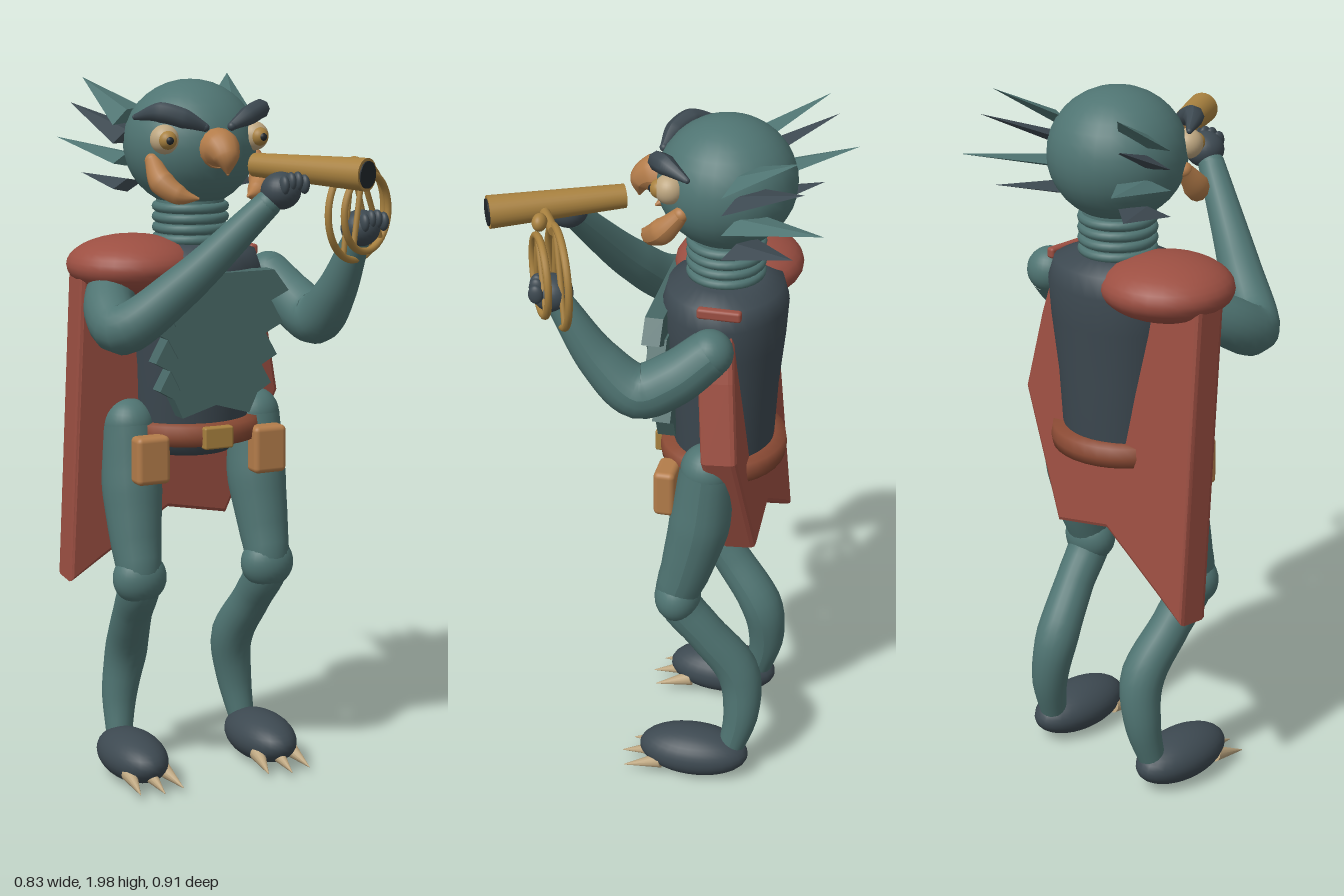
import * as THREE from 'three';
import { RoundedBoxGeometry } from 'three/addons/geometries/RoundedBoxGeometry.js';
import { ConvexGeometry } from 'three/addons/geometries/ConvexGeometry.js';

const mat = (name, color, side = THREE.FrontSide) => {
  const m = new THREE.MeshStandardMaterial({ color, side });
  m.name = name;
  return m;
};
const V = (x, y, z) => new THREE.Vector3(x, y, z);

export function createModel() {
  const root = new THREE.Group();
  root.name = 'birdHerald';
  const skin = mat('teal', 0x4f7472);
  const plate = mat('plateTeal', 0x486866);
  const slate = mat('slate', 0x3d4951);
  const red = mat('capeRed', 0x9c4f42);
  const gold = mat('brass', 0xa8813f);
  const horn = mat('beakOrange', 0xb37c4a);
  const bone = mat('bone', 0xbda680);
  const leather = mat('leather', 0x8a4a34);
  const dark = mat('dark', 0x22282c);
  const C = -0.035; // body midline
  const Z = -0.15; // body depth axis

  const add = (name, geo, m, p = [0, 0, 0], parent = root) => {
    const mesh = new THREE.Mesh(geo, m);
    mesh.name = name;
    mesh.position.set(...p);
    parent.add(mesh);
    return mesh;
  };
  const ball = (name, m, p, r, parent) => {
    const mesh = add(name, new THREE.SphereGeometry(1, 28, 18), m, p, parent);
    mesh.scale.set(...(Array.isArray(r) ? r : [r, r, r]));
    return mesh;
  };
  // Straight tapered rod between two points
  const rod = (name, m, a, b, r0, r1, seg = 20) => {
    const d = b.clone().sub(a);
    const mesh = add(name, new THREE.CylinderGeometry(r1, r0, d.length(), seg), m, a.clone().lerp(b, 0.5).toArray());
    mesh.quaternion.setFromUnitVectors(V(0, 1, 0), d.normalize());
    return mesh;
  };
  // Curved limb whose radius follows a list of values
  const limb = (name, m, pts, radii, seg = 16) => {
    const curve = new THREE.CatmullRomCurve3(pts.map((p) => V(...p)));
    const n = 32;
    const geo = new THREE.TubeGeometry(curve, n, 1, seg);
    const pos = geo.attributes.position;
    const v = V(0, 0, 0);
    for (let i = 0; i <= n; i++) {
      const c = curve.getPointAt(i / n);
      const t = curve.getUtoTmapping(i / n) * (radii.length - 1);
      const k = Math.min(Math.floor(t), radii.length - 2);
      const r = THREE.MathUtils.lerp(radii[k], radii[k + 1], t - k);
      for (let j = 0; j <= seg; j++) {
        const q = i * (seg + 1) + j;
        v.fromBufferAttribute(pos, q).sub(c).multiplyScalar(r).add(c);
        pos.setXYZ(q, v.x, v.y, v.z);
      }
    }
    geo.computeVertexNormals();
    add(name, geo, m);
    ball(name + 'Start', m, pts[0], radii[0] * 0.98);
    ball(name + 'End', m, pts[pts.length - 1], radii[radii.length - 1]);
  };
  const outline = (pts) => new THREE.Shape(pts.map(([x, y]) => new THREE.Vector2(x, y)));

  // Torso
  const profile = [[0, 0.94], [0.11, 0.945], [0.15, 0.98], [0.165, 1.05], [0.175, 1.2], [0.195, 1.36],
    [0.203, 1.46], [0.185, 1.515], [0.12, 1.54], [0, 1.545]].map(([x, y]) => new THREE.Vector2(x, y));
  add('torso', new THREE.LatheGeometry(profile, 32), slate, [C, 0, Z]).scale.z = 0.84;

  // Layered breastplate, upper rows lap over lower rows
  [[0.215, 1.47, 1.33], [0.2, 1.4, 1.24], [0.185, 1.31, 1.15], [0.17, 1.23, 1.07]].forEach(([w, top, bot], i) => {
    const half = [[w - 0.045, top], [w, bot + 0.08], [0.75 * w, bot + 0.055], [0.6 * w, bot]];
    const pts = [...half, [0, bot + 0.03], ...half.slice().reverse().map(([x, y]) => [-x, y])];
    const geo = new THREE.ExtrudeGeometry(outline(pts), { depth: 0.05, bevelEnabled: false });
    add('breastplateRow', geo, plate, [C, 0, -0.017 - i * 0.006]);
  });

  // Belt, buckle and pouches
  const beltProfile = [[0.155, 0.98], [0.19, 0.985], [0.195, 1.01], [0.19, 1.04], [0.155, 1.045]];
  add('belt', new THREE.LatheGeometry(beltProfile.map(([x, y]) => new THREE.Vector2(x, y)), 32), leather, [C, 0, Z]).scale.z = 0.9;
  add('buckle', new RoundedBoxGeometry(0.088, 0.062, 0.03, 2, 0.006), gold, [C, 1.01, 0.022]);
  for (const s of [-1, 1])
    add('pouch', new RoundedBoxGeometry(0.1, 0.135, 0.06, 3, 0.015), horn, [C + s * 0.18, 0.953, -0.03]);

  // Neck with rings
  add('neck', new THREE.CylinderGeometry(0.095, 0.1, 0.16, 28), skin, [C, 1.59, Z]);
  for (let i = 0; i < 4; i++)
    add('neckRing', new THREE.TorusGeometry(0.094, 0.014, 10, 32), skin, [C, 1.55 + i * 0.029, Z]).rotation.x = Math.PI / 2;

  // Head and beak
  ball('head', skin, [C, 1.81, Z], [0.187, 0.177, 0.187]);
  limb('beak', horn, [[C, 1.81, 0], [C, 1.808, 0.05], [C, 1.785, 0.08], [C, 1.745, 0.088]], [0.06, 0.052, 0.036, 0.004]);

  for (const s of [-1, 1]) {
    const X = (x) => C + s * x;
    // Eyes
    ball('eye', bone, [X(0.135), 1.835, -0.025], 0.04);
    ball('iris', gold, [X(0.138), 1.835, 0], 0.026);
    ball('pupil', dark, [X(0.14), 1.835, 0.018], 0.012);
    // Brows
    limb('brow', slate, [[X(0.195), 1.893, -0.085], [X(0.15), 1.908, -0.02], [X(0.095), 1.892, 0.015], [X(0.04), 1.868, 0.03]],
      [0.008, 0.028, 0.027, 0.012], 8);
    // Curved cheek tusks
    limb('cheekTusk', horn, [[X(0.155), 1.775, -0.06], [X(0.15), 1.72, -0.01], [X(0.115), 1.688, 0.03], [X(0.075), 1.68, 0.06]],
      [0.022, 0.036, 0.027, 0.004], 12);
    // Swept-back ear feathers
    [[0.225, 1.985, -0.38, 1.865], [0.255, 1.915, -0.4, 1.815], [0.275, 1.815, -0.455, 1.76], [0.235, 1.72, -0.37, 1.69]]
      .forEach(([tx, ty, tz, by], i) => {
        const rise = (ty - by) / (tz + 0.18) * -0.07;
        const geo = new ConvexGeometry([V(X(0.1), by + rise, -0.25), V(X(0.22), by, -0.18), V(X(tx), ty, tz),
          V(X(0.165), by + rise / 2 + 0.018, -0.21), V(X(0.165), by + rise / 2 - 0.018, -0.21)]);
        add('earFeather', geo, i % 2 ? slate : skin);
      });

    // Legs
    limb('leg', skin, [[X(0.195), 1.035, -0.145], [X(0.195), 0.86, -0.125], [X(0.2), 0.71, -0.09], [X(0.2), 0.6, -0.065],
      [X(0.19), 0.49, -0.14], [X(0.17), 0.35, -0.235], [X(0.185), 0.22, -0.25], [X(0.2), 0.08, -0.22]],
    [0.075, 0.086, 0.072, 0.06, 0.056, 0.062, 0.052, 0.035], 20);
    ball('knee', skin, [X(0.2), 0.61, -0.065], [0.078, 0.075, 0.065]);
    ball('foot', slate, [X(0.205), 0.075, -0.115], [0.088, 0.07, 0.16]);
    for (const k of [-1, 0, 1])
      rod('toeClaw', bone, V(X(0.203) + k * 0.052, 0.052, -0.01 - Math.abs(k) * 0.015),
        V(X(0.2) + k * 0.066, 0.025, 0.1 - Math.abs(k) * 0.02), 0.023, 0.001, 12);
  }

  // Shoulder guard and cape
  ball('shoulderGuard', red, [-0.215, 1.485, Z], [0.182, 0.083, 0.177]);
  const capeShape = outline([[-0.37, 1.45], [-0.385, 0.6], [-0.3, 0.66], [-0.1, 0.79], [0.08, 0.755],
    [0.225, 1.1], [0.18, 1.32], [0.13, 1.5], [-0.2, 1.5]]);
  const capeGeo = new THREE.ExtrudeGeometry(capeShape, { depth: 0.07, bevelSize: 0.012, bevelThickness: 0.015, bevelSegments: 2 });
  capeGeo.translate(0, -1.34, -0.035);
  add('cape', capeGeo, red, [0, 1.34, -0.17]).rotation.x = 0.085;
  add('capeClasp', new RoundedBoxGeometry(0.025, 0.03, 0.12, 2, 0.008), red, [0.145, 1.508, -0.17]);

  // Arms
  limb('rightArm', skin, [[-0.28, 1.45, -0.13], [-0.335, 1.38, -0.03], [-0.335, 1.34, 0.06], [-0.2, 1.46, 0.15], [0.0, 1.68, 0.255]],
    [0.065, 0.07, 0.07, 0.058, 0.037], 20);
  limb('leftArm', skin, [[0.215, 1.43, -0.16], [0.25, 1.36, -0.07], [0.272, 1.325, 0.02], [0.28, 1.41, 0.12], [0.29, 1.57, 0.22]],
    [0.065, 0.073, 0.075, 0.058, 0.037], 20);

  // Hands with curled fingers
  const hand = (name, x, y, z) => {
    ball(name, slate, [x, y, z], [0.054, 0.05, 0.054]);
    for (let i = 0; i < 4; i++)
      ball(name + 'Finger', slate, [x - 0.012 + i * 0.022, y + 0.03 - Math.abs(i - 1.5) * 0.008, z + 0.042 - i * 0.004], [0.013, 0.026, 0.02]);
  };
  hand('rightHand', 0.035, 1.715, 0.265);
  hand('leftHand', 0.29, 1.6, 0.24);

  // Brass instrument: main pipe, dark bore, coiled loops, braces
  const a = V(0.035, 1.77, 0.11);
  const b = V(0.2, 1.765, 0.435);
  rod('pipe', gold, a, b, 0.032, 0.044, 28);
  const dir = b.clone().sub(a).normalize();
  rod('pipeBore', dark, b, b.clone().addScaledVector(dir, 0.004), 0.036, 0.036, 28);
  const loops = [[V(0.285, 1.645, 0.225), 0.133], [V(0.29, 1.645, 0.272), 0.105]];
  for (const [p, r] of loops) {
    add('loop', new THREE.TorusGeometry(r, 0.01, 10, 48), gold, p.toArray()).rotation.y = 0.47;
    for (const k of [-0.06, 0.07])
      rod('loopBrace', gold, V(p.x - 0.02, p.y + r, p.z + 0.01),
        V(p.x + k * 0.89, p.y - Math.sqrt(r * r - k * k), p.z - k * 0.45), 0.008, 0.008, 10);
  }
  rod('connector', gold, V(0.15, 1.765, 0.3), V(0.265, 1.765, 0.24), 0.014, 0.014, 14);
  ball('valve', gold, [0.245, 1.775, 0.283], [0.026, 0.024, 0.02]);
  return root;
}
